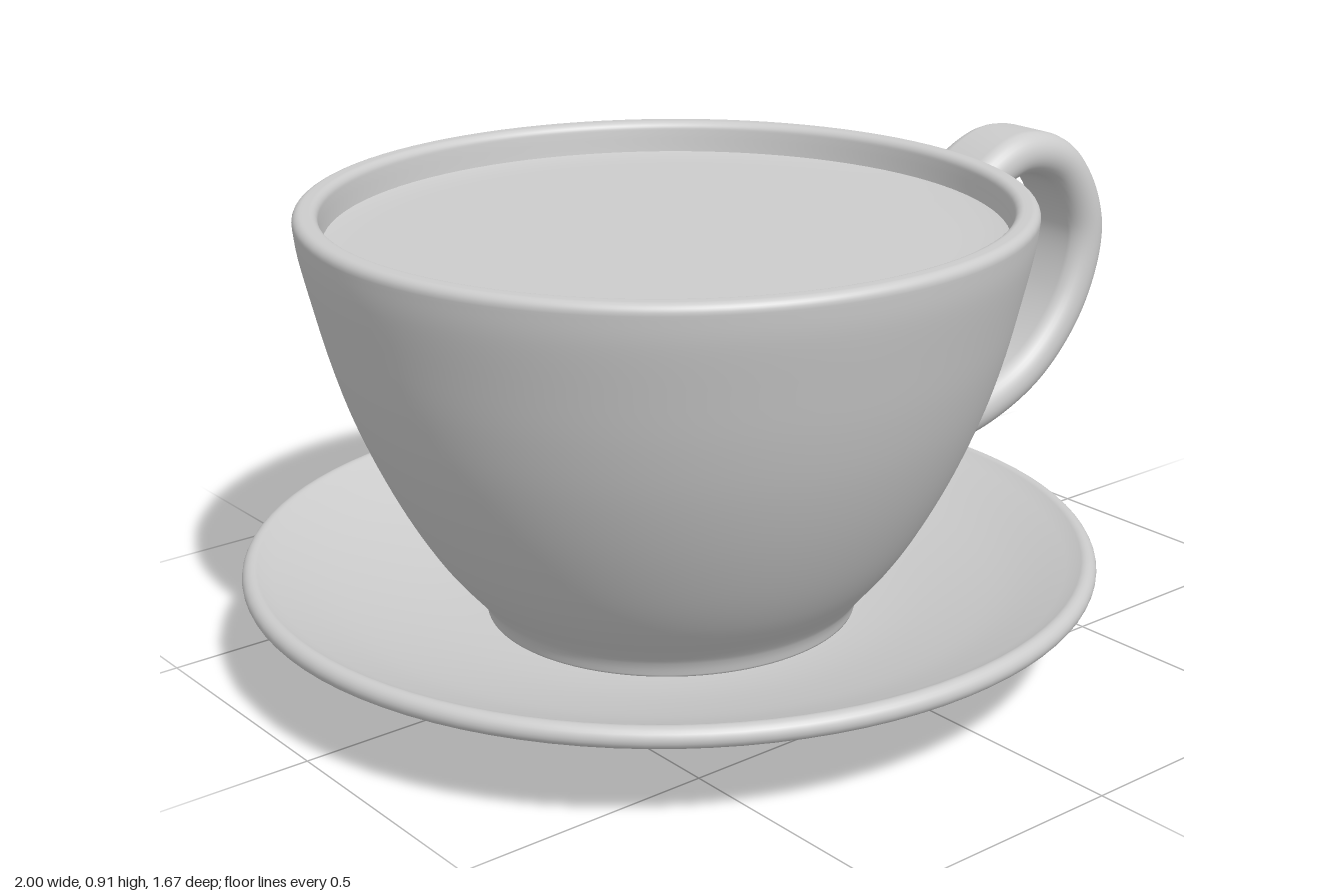
import * as THREE from 'three';

const CX = -0.165; // axis of cup and saucer
const material = new THREE.MeshStandardMaterial({ color: 0xcccccc });
const V = (p) => new THREE.Vector2(p[0], p[1]);
const curve = (pts, n) => new THREE.SplineCurve(pts.map(V)).getPoints(n);
const arc = (x, y, r, a0, a1, n = 8) => Array.from({ length: n + 1 }, (_, i) => {
  const a = THREE.MathUtils.degToRad(a0 + (a1 - a0) * i / n);
  return new THREE.Vector2(x + r * Math.cos(a), y + r * Math.sin(a));
});

function turned(name, points) {
  const mesh = new THREE.Mesh(new THREE.LatheGeometry(points, 96), material);
  mesh.name = name;
  mesh.position.x = CX;
  return mesh;
}

// Stadium-shaped section swept along a planar path, ends rounded off
function handleGeometry(path, halfThick, halfWide, steps = 96, sides = 32) {
  const pos = [], index = [];
  const flat = halfWide - halfThick;
  const ring = (c, t, k) => {
    for (let j = 0; j < sides; j++) {
      const a = ((j + 0.5) / sides) * Math.PI * 2;
      const u = halfThick * Math.cos(a) * k;
      const w = (halfThick * Math.sin(a) + Math.sign(Math.sin(a)) * flat) * k;
      pos.push(c.x - t.y * u, c.y + t.x * u, w);
    }
  };
  const cap = [0.02, 0.4, 0.7, 0.9];
  const end = (u, sign, k) => {
    const t = path.getTangent(u);
    const d = sign * halfThick * Math.sqrt(1 - k * k);
    ring(path.getPoint(u).addScaledVector(t, d), t, k);
  };
  cap.forEach((k) => end(0, -1, k));
  for (let i = 0; i <= steps; i++) ring(path.getPointAt(i / steps), path.getTangentAt(i / steps), 1);
  [...cap].reverse().forEach((k) => end(1, 1, k));
  const rings = pos.length / 3 / sides;
  for (let i = 0; i < rings - 1; i++) {
    for (let j = 0; j < sides; j++) {
      const a = i * sides + j, b = i * sides + (j + 1) % sides;
      index.push(a, b, a + sides, b, b + sides, a + sides);
    }
  }
  const g = new THREE.BufferGeometry();
  g.setAttribute('position', new THREE.Float32BufferAttribute(pos, 3));
  g.setIndex(index);
  g.computeVertexNormals();
  return g;
}

export function createModel() {
  const group = new THREE.Group();

  // Saucer: recessed foot ring, sloping underside, rolled rim, shallow dish
  group.add(turned('saucer', [
    V([0, 0.03]), V([0.27, 0.03]), V([0.285, 0.029]),
    ...curve([[0.295, 0.024], [0.31, 0.008], [0.33, 0]], 6),
    V([0.35, 0]),
    ...arc(0.365, 0.018, 0.018, -90, -20, 5),
    V([0.39, 0.04]), V([0.394, 0.045]),
    ...curve([[0.40, 0.047], [0.52, 0.07], [0.67, 0.115], [0.81, 0.172]], 20),
    ...arc(0.815, 0.193, 0.02, -80, 120, 12),
    ...curve([[0.795, 0.204], [0.66, 0.15], [0.50, 0.105], [0.38, 0.085], [0.28, 0.082]], 20),
    V([0, 0.082]),
  ]));

  // Cup: foot, bowl, rounded lip and inner wall
  group.add(turned('cup', [
    V([0, 0.08]), V([0.355, 0.08]),
    ...curve([[0.365, 0.085], [0.372, 0.11], [0.388, 0.135], [0.45, 0.21], [0.505, 0.295],
      [0.562, 0.405], [0.61, 0.52], [0.645, 0.63], [0.672, 0.74], [0.692, 0.83], [0.699, 0.885]], 48),
    ...arc(0.682, 0.888, 0.017, 0, 90),
    ...arc(0.668, 0.888, 0.017, 90, 180),
    ...curve([[0.65, 0.88], [0.642, 0.81], [0.62, 0.70], [0.56, 0.51], [0.46, 0.32], [0.34, 0.18]], 24),
    V([0.3, 0.15]), V([0, 0.15]),
  ]));

  // Drink surface with a slight rise at its edge
  group.add(turned('drink', [
    V([0.648, 0.843]), V([0.635, 0.840]), V([0.60, 0.836]), V([0.55, 0.835]), V([0, 0.835]),
  ]));

  // Handle loop
  const path = new THREE.CatmullRomCurve3([
    [0.49, 0.635], [0.545, 0.71], [0.625, 0.81], [0.745, 0.861], [0.87, 0.822], [0.95, 0.68],
    [0.915, 0.525], [0.80, 0.39], [0.64, 0.317], [0.50, 0.30], [0.38, 0.309], [0.33, 0.316],
  ].map(([x, y]) => new THREE.Vector3(x, y, 0)));
  const handle = new THREE.Mesh(handleGeometry(path, 0.046, 0.088), material);
  handle.name = 'handle';
  group.add(handle);

  return group;
}
